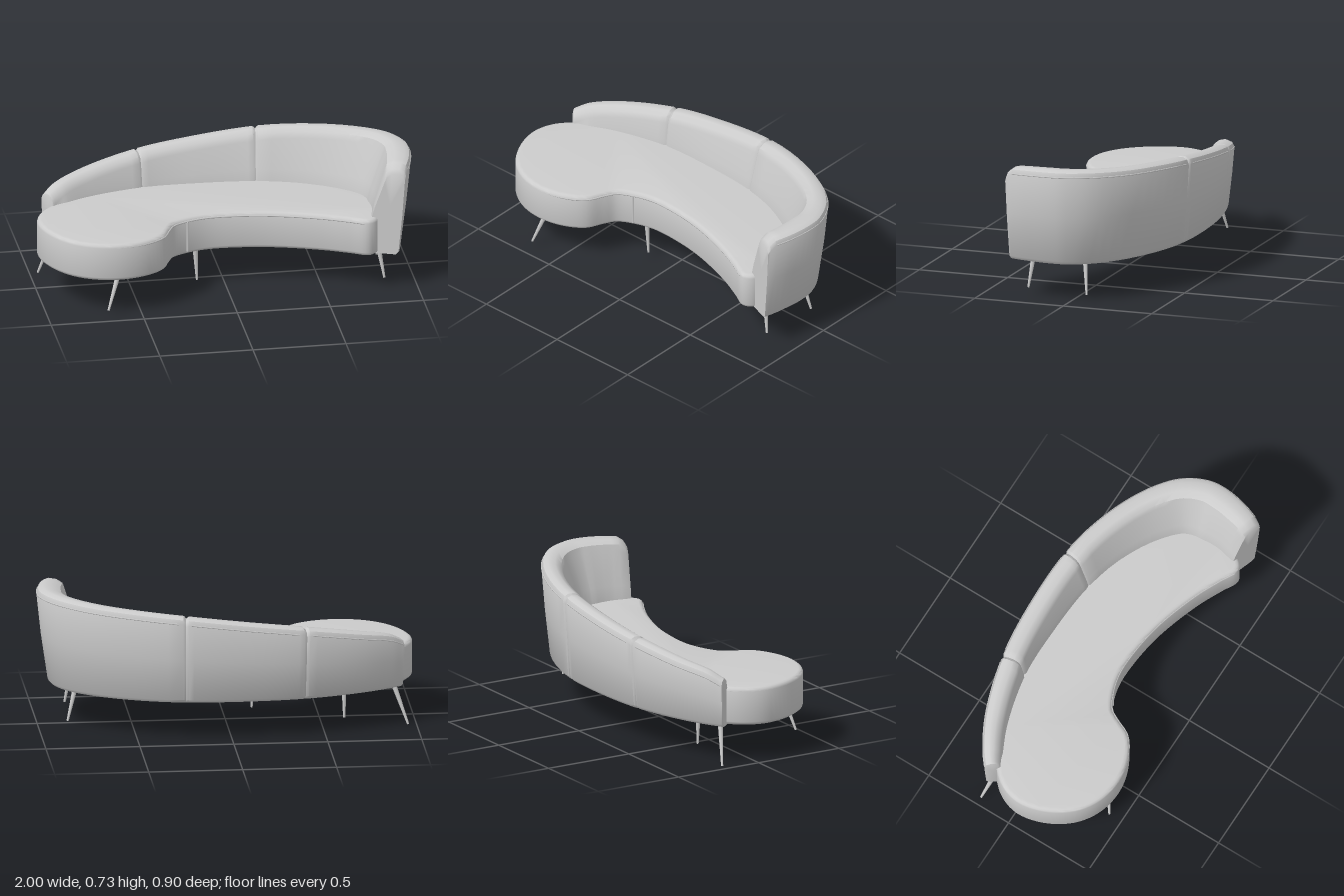
import * as THREE from 'three';
import { toCreasedNormals } from 'three/addons/utils/BufferGeometryUtils.js';

const material = new THREE.MeshStandardMaterial({ color: 0xcccccc, side: THREE.DoubleSide });
const V = (x, y, z) => new THREE.Vector3(x, y, z);

function add(group, name, geometry) {
  const mesh = new THREE.Mesh(geometry, material);
  mesh.name = name;
  group.add(mesh);
  return mesh;
}

// Kidney-shaped seat outline as x, z pairs
const seatOutline = [
  [-1, 0.05], [-0.97, 0.2], [-0.88, 0.34], [-0.76, 0.42], [-0.62, 0.447], [-0.48, 0.42],
  [-0.37, 0.35], [-0.325, 0.26], [-0.29, 0.2], [-0.21, 0.155], [-0.1, 0.125], [0.05, 0.125],
  [0.25, 0.155], [0.5, 0.235], [0.64, 0.3], [0.73, 0.343], [0.785, 0.31], [0.82, 0.1],
  [0.8, -0.05], [0.67, -0.19], [0.4, -0.33], [0, -0.39], [-0.4, -0.36], [-0.7, -0.265],
  [-0.86, -0.17], [-0.96, -0.07],
];
const seatCurve = new THREE.CatmullRomCurve3(seatOutline.map(([x, z]) => V(x, 0, z)), true);

// Backrest stations: outer edge x, z, top height, top width, depth at seat level, lean
const stations = [
  [-0.94, -0.19, 0.465, 0.075, 0.09, 0.01], [-0.87, -0.245, 0.505, 0.085, 0.115, 0.02],
  [-0.7, -0.335, 0.545, 0.095, 0.125, 0.03], [-0.4, -0.42, 0.597, 0.1, 0.135, 0.03],
  [-0.1, -0.448, 0.635, 0.1, 0.155, 0.03], [0.25, -0.437, 0.675, 0.1, 0.17, 0.03],
  [0.5, -0.38, 0.695, 0.1, 0.18, 0.035], [0.74, -0.275, 0.71, 0.105, 0.2, 0.045],
  [0.91, -0.14, 0.722, 0.115, 0.215, 0.055], [0.985, 0, 0.725, 0.125, 0.23, 0.06],
  [0.995, 0.1, 0.725, 0.13, 0.23, 0.06], [0.975, 0.23, 0.72, 0.125, 0.21, 0.055],
  [0.93, 0.358, 0.71, 0.11, 0.195, 0.035],
];
const backCurve = new THREE.CatmullRomCurve3(stations.map(([x, z, h]) => V(x, h, z)));

// Cross-section of the backrest at t, pulled in by e on the sides and by drop at the top
function section(t, e, drop) {
  const p = backCurve.getPoint(t), d = backCurve.getTangent(t);
  const n = V(-d.z, 0, d.x).normalize();
  const k = t * (stations.length - 1), i = Math.min(Math.floor(k), stations.length - 2);
  const [w, base, lean] = [3, 4, 5].map(c => THREE.MathUtils.lerp(stations[i][c], stations[i + 1][c], k - i));
  const h = p.y - drop;
  return [
    [base - e, 0.205], [lean + 0.015 + e, 0.203], [lean + e, 0.22], [lean * 0.4 + e, 0.205 + (h - 0.205) * 0.5],
    [e, h - 0.035], [0.01 + e, h - 0.012], [0.035 + e, h], [w * 0.7, h - 0.003],
    [w - e, h - 0.022], [w + 0.012 - e, h - 0.055], [base * 0.75 + w * 0.25 - e, 0.36 + (h - 0.36) * 0.35],
    [base - e, 0.39],
  ].map(([a, y]) => V(p.x + n.x * a, y, p.z + n.z * a));
}

// Sweep one closed backrest piece from t0 to t1; the end top drops by endDrop
function backPiece(t0, t1, endDrop) {
  const rings = [], steps = 22, soft = 0.004;
  rings.push(section(t0, 0.006, 0.012));
  for (let i = 0; i <= steps; i++) {
    rings.push(section(THREE.MathUtils.lerp(t0 + soft, t1 - soft - endDrop * 0.5, i / steps), 0, 0));
  }
  if (endDrop) rings.push(section(t1 - 0.008, 0.002, endDrop * 0.4));
  rings.push(section(t1, 0.006, 0.012 + endDrop * 0.6));
  const pos = [], index = [], m = rings[0].length;
  rings.forEach(r => r.forEach(p => pos.push(p.x, p.y, p.z)));
  for (let i = 0; i < rings.length - 1; i++) {
    for (let j = 0; j < m; j++) {
      const a = i * m + j, b = i * m + (j + 1) % m;
      index.push(a, b, a + m, b, b + m, a + m);
    }
  }
  [0, rings.length - 1].forEach((r, side) => {
    const c = rings[r].reduce((s, p) => s.add(p), V(0, 0, 0)).divideScalar(m);
    const ci = pos.length / 3;
    pos.push(c.x, c.y, c.z);
    for (let j = 0; j < m; j++) {
      const a = r * m + j, b = r * m + (j + 1) % m;
      index.push(...(side ? [a, b, ci] : [b, a, ci]));
    }
  });
  const g = new THREE.BufferGeometry();
  g.setAttribute('position', new THREE.Float32BufferAttribute(pos, 3));
  g.setIndex(index);
  return toCreasedNormals(g, 0.7);
}

// Slim tapered leg between a top and a foot point
function addLeg(group, top, foot) {
  const dir = top.clone().sub(foot);
  const leg = add(group, 'leg', new THREE.CylinderGeometry(0.014, 0.006, dir.length(), 8));
  leg.position.copy(top).add(foot).multiplyScalar(0.5);
  leg.quaternion.setFromUnitVectors(V(0, 1, 0), dir.normalize());
}

export function createModel() {
  const sofa = new THREE.Group();
  sofa.name = 'curvedSofa';

  // Seat body with a softly rounded cushion edge
  const shape = new THREE.Shape(seatCurve.getPoints(130).slice(0, -1).map(p => new THREE.Vector2(p.x, -p.z)));
  const seat = new THREE.ExtrudeGeometry(shape, {
    depth: 0.168, bevelThickness: 0.02, bevelSize: 0.024, bevelOffset: -0.024, bevelSegments: 3,
  });
  seat.rotateX(-Math.PI / 2).translate(0, 0.223, 0);
  add(sofa, 'seat', toCreasedNormals(seat, 0.7));

  // Piping around the seat edge and the vertical front seam
  const seatPipe = new THREE.CatmullRomCurve3(
    seatOutline.map(([x, z]) => V(x * 0.995, 0.391, z * 0.99)), true);
  add(sofa, 'seatPiping', new THREE.TubeGeometry(seatPipe, 130, 0.005, 5, true));
  const seam = add(sofa, 'seatSeam', new THREE.CylinderGeometry(0.006, 0.006, 0.17, 6));
  seam.position.set(-0.21, 0.305, 0.155);

  // Three backrest pieces, the last one wrapping round into the arm
  const cuts = [0, 3 / 12, 5 / 12, 1];
  for (let i = 0; i < 3; i++) {
    add(sofa, ['backLow', 'backMiddle', 'backAndArm'][i],
      backPiece(cuts[i], cuts[i + 1], i === 2 ? 0.05 : 0));
    const pipe = [];
    for (let k = 0; k <= 14; k++) {
      const t = THREE.MathUtils.lerp(cuts[i] + 0.012, cuts[i + 1] - (i < 2 ? 0.008 : 0.03), k / 14);
      pipe.push(section(t, 0.002, 0)[4]);
    }
    add(sofa, 'backPiping', new THREE.TubeGeometry(new THREE.CatmullRomCurve3(pipe), 40, 0.004, 5));
  }

  // Splayed legs: top x, z, foot x, z, foot height
  [
    [-0.62, 0.385, -0.68, 0.43, 0.03], [-0.62, -0.14, -0.62, -0.145, 0.03],
    [-0.16, 0.1, -0.15, 0.1, 0.03], [-0.88, -0.165, -0.955, -0.2, 0],
    [0.8, -0.05, 0.845, -0.075, 0.03], [0.8, 0.24, 0.83, 0.26, 0.04],
  ].forEach(([x, z, fx, fz, y]) => addLeg(sofa, V(x, 0.215, z), V(fx, y, fz)));

  return sofa;
}
